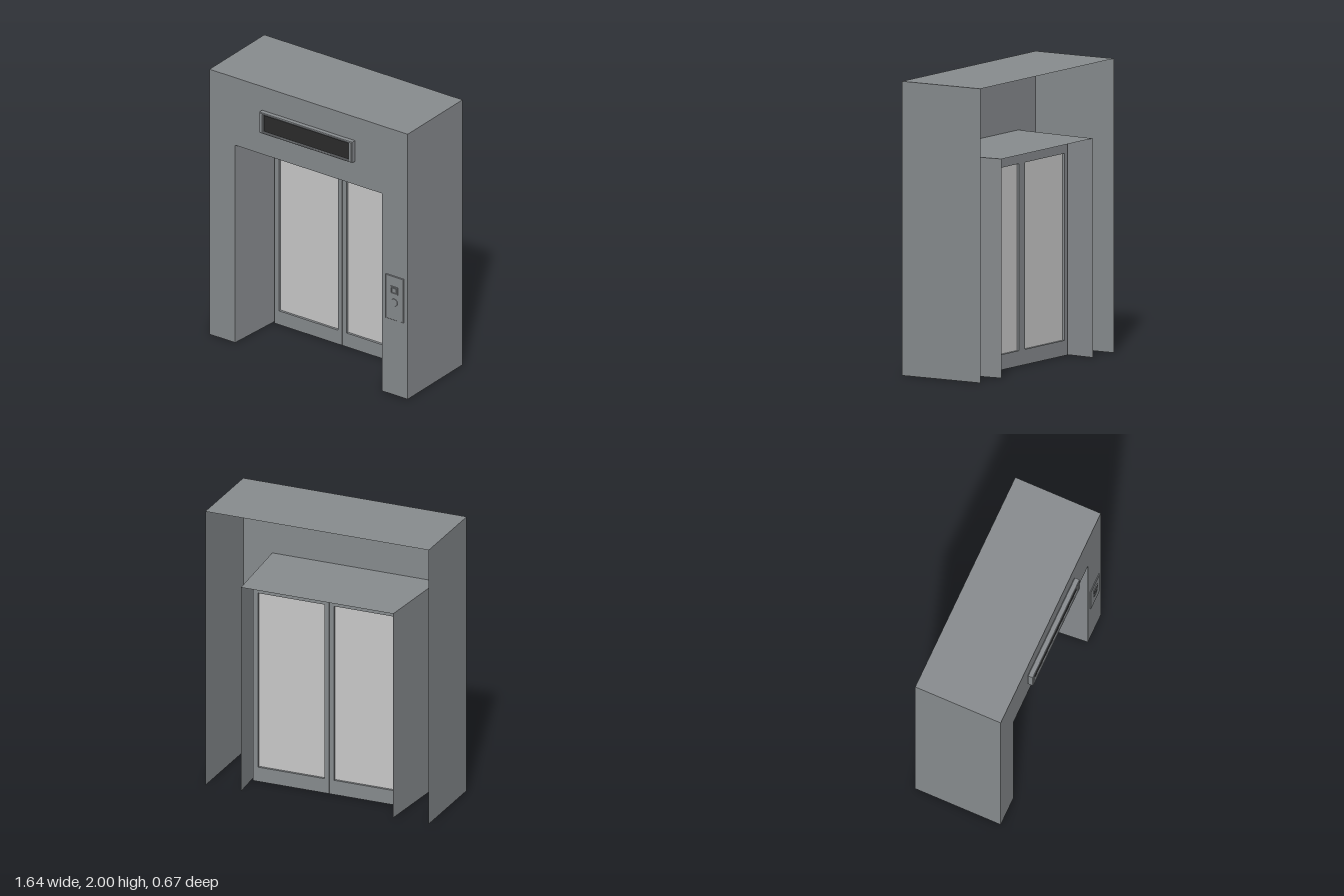
import * as THREE from 'three';

const steel = new THREE.MeshStandardMaterial({ color: 0x888c8f, side: THREE.DoubleSide });
steel.name = 'brushed steel';
const pane = new THREE.MeshStandardMaterial({ color: 0xcbcbcb });
pane.name = 'pale pane';
const dark = new THREE.MeshStandardMaterial({ color: 0x2b2b2b });
dark.name = 'dark screen';

const FRONT = 0.294, BACK = -0.336;      // depth of the surround
const W = 0.822, H = 2;                  // outer half width and height
const OPEN = 0.609, REAR = 0.56, OPEN_H = 1.49; // tapering doorway

function add(parent, name, geometry, material, x = 0, y = 0, z = 0) {
  const mesh = new THREE.Mesh(geometry, material);
  mesh.name = name;
  mesh.position.set(x, y, z);
  parent.add(mesh);
  return mesh;
}

// Flat sheet through four corners, counter-clockwise from its outside
function sheet(a, b, c, d) {
  const g = new THREE.BufferGeometry();
  g.setAttribute('position', new THREE.Float32BufferAttribute([a, b, c, a, c, d].flat(), 3));
  g.computeVertexNormals();
  return g;
}

function rect(Type, x0, y0, x1, y1) {
  return new Type([[x0, y0], [x1, y0], [x1, y1], [x0, y1]].map(p => new THREE.Vector2(...p)));
}

// Rectangular frame with a rectangular hole, its back on z = 0
function frame(outer, inner, depth, bevel = 0) {
  const [x0, y0, x1, y1] = outer;
  const shape = rect(THREE.Shape, x0 + bevel, y0 + bevel, x1 - bevel, y1 - bevel);
  const [a, b, c, d] = inner;
  shape.holes.push(rect(THREE.Path, a - bevel, b - bevel, c + bevel, d + bevel));
  const g = new THREE.ExtrudeGeometry(shape, {
    depth: depth - 2 * bevel, bevelEnabled: bevel > 0,
    bevelSize: bevel, bevelThickness: bevel, bevelSegments: 1,
  });
  return g.translate(0, 0, bevel);
}

// Raised plate with chamfered edges, its back on z = 0
function plate(w, h, depth, bevel) {
  const shape = rect(THREE.Shape, -w / 2 + bevel, -h / 2 + bevel, w / 2 - bevel, h / 2 - bevel);
  return new THREE.ExtrudeGeometry(shape, {
    depth: depth - bevel, bevelSize: bevel, bevelThickness: bevel, bevelSegments: 1,
  });
}

export function createModel() {
  const model = new THREE.Group();
  model.name = 'elevatorEntrance';

  // Surround: thin sheets, open at the back and bottom
  const surround = new THREE.Group();
  surround.name = 'surround';
  model.add(surround);
  const wall = new THREE.Shape([
    [-W, 0], [-OPEN, 0], [-OPEN, OPEN_H], [OPEN, OPEN_H], [OPEN, 0], [W, 0], [W, H], [-W, H],
  ].map(p => new THREE.Vector2(...p)));
  add(surround, 'frontWall', new THREE.ShapeGeometry(wall), steel, 0, 0, FRONT);
  add(surround, 'roof', sheet([-W, H, FRONT], [W, H, FRONT], [W, H, BACK], [-W, H, BACK]), steel);
  add(surround, 'rightSide', sheet([-W, 0, BACK], [-W, 0, FRONT], [-W, H, FRONT], [-W, H, BACK]), steel);
  add(surround, 'leftSide', sheet([W, 0, FRONT], [W, 0, BACK], [W, H, BACK], [W, H, FRONT]), steel);

  // Tapering jambs and doorway ceiling
  add(surround, 'rightJamb', sheet([-OPEN, 0, FRONT], [-REAR, 0, BACK],
    [-REAR, OPEN_H, BACK], [-OPEN, OPEN_H, FRONT]), steel);
  add(surround, 'leftJamb', sheet([REAR, 0, BACK], [OPEN, 0, FRONT],
    [OPEN, OPEN_H, FRONT], [REAR, OPEN_H, BACK]), steel);
  add(surround, 'doorwayCeiling', sheet([-REAR, OPEN_H, BACK], [REAR, OPEN_H, BACK],
    [OPEN, OPEN_H, FRONT], [-OPEN, OPEN_H, FRONT]), steel);

  // Pair of framed sliding doors
  for (const [side, s] of [['left', 1], ['right', -1]]) {
    const door = new THREE.Group();
    door.name = side + 'Door';
    door.position.set(s * 0.2805, 0, -0.133);
    model.add(door);
    add(door, 'doorFrame', frame([-0.28, 0.001, 0.28, 1.482], [-0.244, 0.105, 0.244, 1.376], 0.04), steel);
    add(door, 'doorPane', new THREE.BoxGeometry(0.488, 1.271, 0.006), pane, 0, 0.7405, 0.02);
  }

  // Floor display above the doorway
  const display = new THREE.Group();
  display.name = 'floorDisplay';
  display.position.set(0.004, 1.747, FRONT);
  model.add(display);
  add(display, 'displayFrame', frame([-0.385, -0.078, 0.385, 0.078], [-0.354, -0.063, 0.354, 0.063], 0.042, 0.005), steel);
  add(display, 'displayScreen', new THREE.BoxGeometry(0.708, 0.126, 0.008), dark, 0, 0, 0.026);

  // Call panel with a square button and a round key switch
  const panel = new THREE.Group();
  panel.name = 'callPanel';
  panel.position.set(0.717, 0.732, FRONT);
  model.add(panel);
  add(panel, 'panelPlate', plate(0.148, 0.33, 0.007, 0.003), steel);
  add(panel, 'buttonRim', frame([-0.03, 0.033, 0.03, 0.089], [-0.022, 0.041, 0.022, 0.081], 0.009), steel, 0, 0, 0.005);
  add(panel, 'callButton', plate(0.04, 0.036, 0.007, 0.002), steel, 0, 0.061, 0.005);
  const lock = new THREE.CylinderGeometry(0.026, 0.028, 0.004, 24).rotateX(Math.PI / 2);
  add(panel, 'keySwitch', lock, steel, 0, -0.03, 0.008);

  return model;
}
